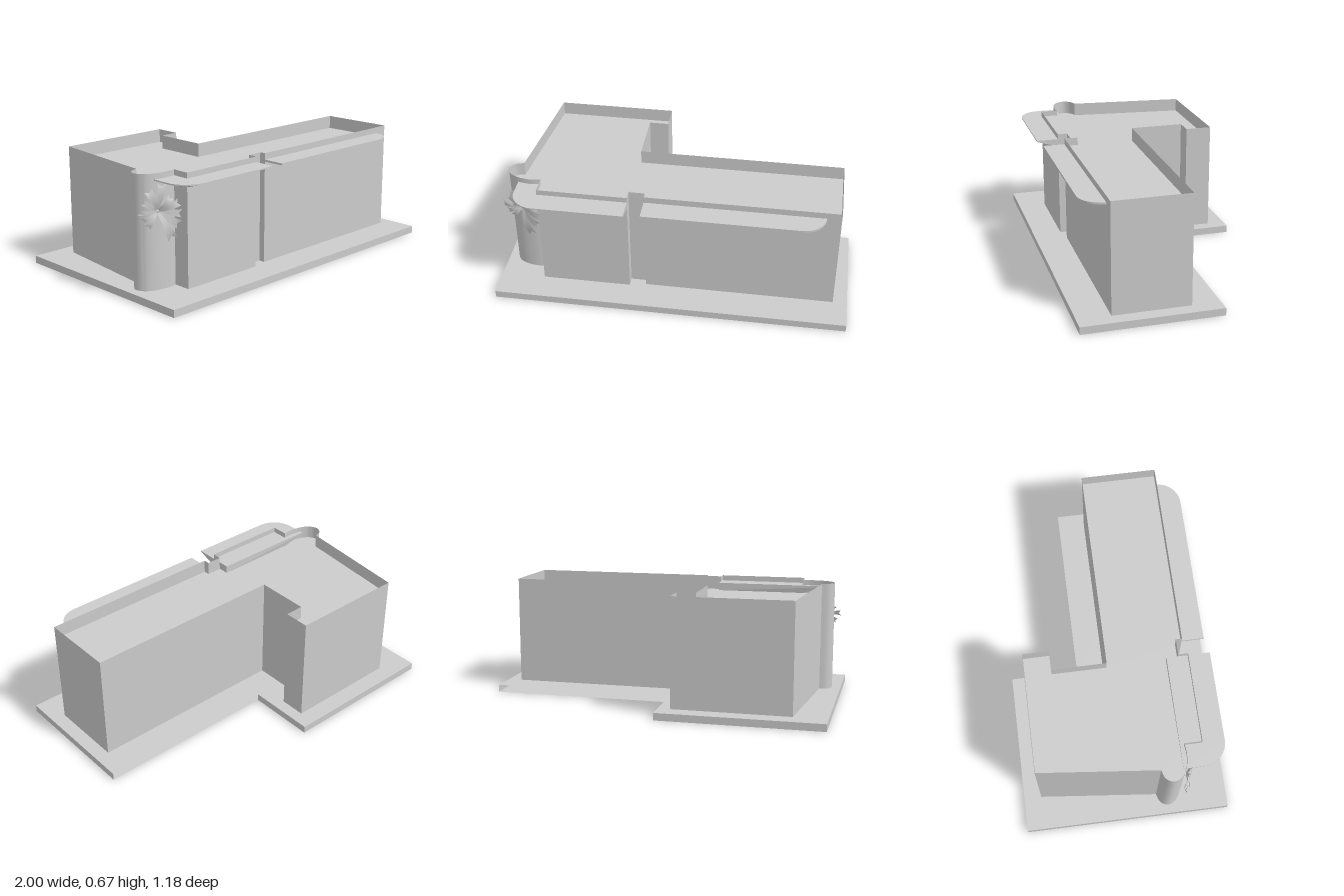
import * as THREE from 'three';
import { toCreasedNormals } from 'three/addons/utils/BufferGeometryUtils.js';
import { ConvexGeometry } from 'three/addons/geometries/ConvexGeometry.js';

const material = new THREE.MeshStandardMaterial({ color: 0xcccccc, side: THREE.DoubleSide });

const BASE_TOP = 0.042, ROOF = 0.59, WALL_TOP = 0.668;

function mesh(name, geometry) {
  const m = new THREE.Mesh(geometry, material);
  m.name = name;
  return m;
}

// Upright thin wall along a plan path of [x, z] points
function wallGeometry(path, y0, y1) {
  const v = [];
  for (let i = 0; i < path.length - 1; i++) {
    const [ax, az] = path[i], [bx, bz] = path[i + 1];
    v.push(ax, y0, az, bx, y0, bz, bx, y1, bz);
    v.push(ax, y0, az, bx, y1, bz, ax, y1, az);
  }
  const g = new THREE.BufferGeometry();
  g.setAttribute('position', new THREE.Float32BufferAttribute(v, 3));
  return toCreasedNormals(g, 0.6);
}

const planShape = (path) => new THREE.Shape(path.map(([x, z]) => new THREE.Vector2(x, -z)));

// Horizontal surface with the given plan outline
function flatGeometry(path, y) {
  return new THREE.ShapeGeometry(planShape(path)).rotateX(-Math.PI / 2).translate(0, y, 0);
}

// Quarter circle in plan
function arc(cx, cz, r, a0, a1, n = 10) {
  return Array.from({ length: n + 1 }, (_, i) => {
    const a = a0 + (a1 - a0) * i / n;
    return [cx + r * Math.cos(a), cz + r * Math.sin(a)];
  });
}

// Bent strip that widens to a notched tip, growing along +y and curling to +z
function petalGeometry(length, width, curl) {
  const g = new THREE.PlaneGeometry(1, 1, 2, 6).translate(0, 0.5, 0);
  const p = g.attributes.position;
  for (let i = 0; i < p.count; i++) {
    const t = p.getY(i), s = p.getX(i);
    const notch = t > 0.99 && Math.abs(s) < 0.01 ? 0.12 : 0;
    p.setXYZ(i, s * width * (0.25 + 0.75 * t), length * (t - notch), curl * Math.sin(t * 2.4));
  }
  g.computeVertexNormals();
  return g;
}

export function createModel() {
  const model = new THREE.Group();

  // L-shaped base slab; its inner long back edge is open
  const base = new THREE.Group();
  base.name = 'base';
  const basePath = [[-0.065, -0.19], [-0.065, -0.59], [-1, -0.59], [-1, 0.59], [1, 0.59], [1, -0.19]];
  base.add(
    mesh('baseTop', flatGeometry(basePath, BASE_TOP)),
    mesh('baseBottom', flatGeometry(basePath, 0)),
    mesh('baseEdge', wallGeometry(basePath, 0, BASE_TOP)),
  );
  model.add(base);

  // Rounded corner tower in plan
  const towerCurve = new THREE.SplineCurve([
    [-0.88, 0.182], [-0.925, 0.198], [-0.95, 0.24], [-0.93, 0.29], [-0.88, 0.32], [-0.81, 0.332], [-0.75, 0.326],
  ].map(([x, z]) => new THREE.Vector2(x, z)));
  const tower = towerCurve.getPoints(28).map((p) => [p.x, p.y]);

  // Building walls with parapet, and the sunken roof
  const outline = [
    [-0.81, -0.49], ...tower, [-0.75, 0.425], [-0.245, 0.425], [-0.245, 0.37], [-0.155, 0.37],
    [-0.155, 0.405], [0.92, 0.405], [0.92, -0.03], [-0.245, -0.03], [-0.245, -0.34],
    [-0.135, -0.34], [-0.135, -0.49],
  ];
  model.add(mesh('walls', wallGeometry([...outline, outline[0]], BASE_TOP, WALL_TOP)));
  model.add(mesh('roof', flatGeometry(outline, ROOF)));

  // Tapered canopy over the entrance, running back over the parapet
  const rim = [[-0.245, 0.305], [-0.88, 0.305], ...arc(-0.75, 0.42, 0.13, Math.PI, Math.PI / 2), [-0.245, 0.55]];
  const root = [[-0.75, 0.31], [-0.75, 0.425], [-0.245, 0.425], [-0.245, 0.305]];
  const at = (path, y) => path.map(([x, z]) => new THREE.Vector3(x, y, z));
  model.add(mesh('entranceCanopy', new ConvexGeometry(
    [...at(rim, 0.637), ...at(rim, 0.63), ...at(root, ROOF + 0.002)])));

  // Thin canopy along the long front
  const slab = [[-0.155, 0.405], [-0.155, 0.53], ...arc(0.71, 0.4, 0.13, Math.PI / 2, 0), [0.84, 0.405]];
  slab[slab.length - 2][1] = 0.405;
  const slabGeometry = new THREE.ExtrudeGeometry(planShape(slab), { depth: 0.011, bevelEnabled: false });
  model.add(mesh('frontCanopy', slabGeometry.rotateX(-Math.PI / 2).translate(0, 0.621, 0)));

  // Flower-like ornament on the tower: [angle clockwise from up, length, width]
  const flower = new THREE.Group();
  flower.name = 'flowerOrnament';
  const petals = [
    [0.15, 0.15, 0.05], [0.75, 0.1, 0.04], [1.2, 0.12, 0.045], [1.75, 0.13, 0.045], [2.2, 0.14, 0.05],
    [2.7, 0.17, 0.055], [3.8, 0.1, 0.035], [4.3, 0.1, 0.03], [4.8, 0.115, 0.03], [5.3, 0.1, 0.03], [5.85, 0.13, 0.045],
  ];
  petals.forEach(([angle, length, width], i) => {
    const petal = mesh('petal', petalGeometry(length, width, 0.02 + 0.008 * (i % 3)));
    petal.rotation.z = -angle;
    flower.add(petal);
  });
  const heart = mesh('flowerCentre', new THREE.SphereGeometry(0.014, 12, 8));
  heart.scale.z = 0.5;
  flower.add(heart);
  flower.position.set(-0.868, 0.47, 0.328);
  flower.rotation.y = -0.35;
  model.add(flower);

  return model;
}
